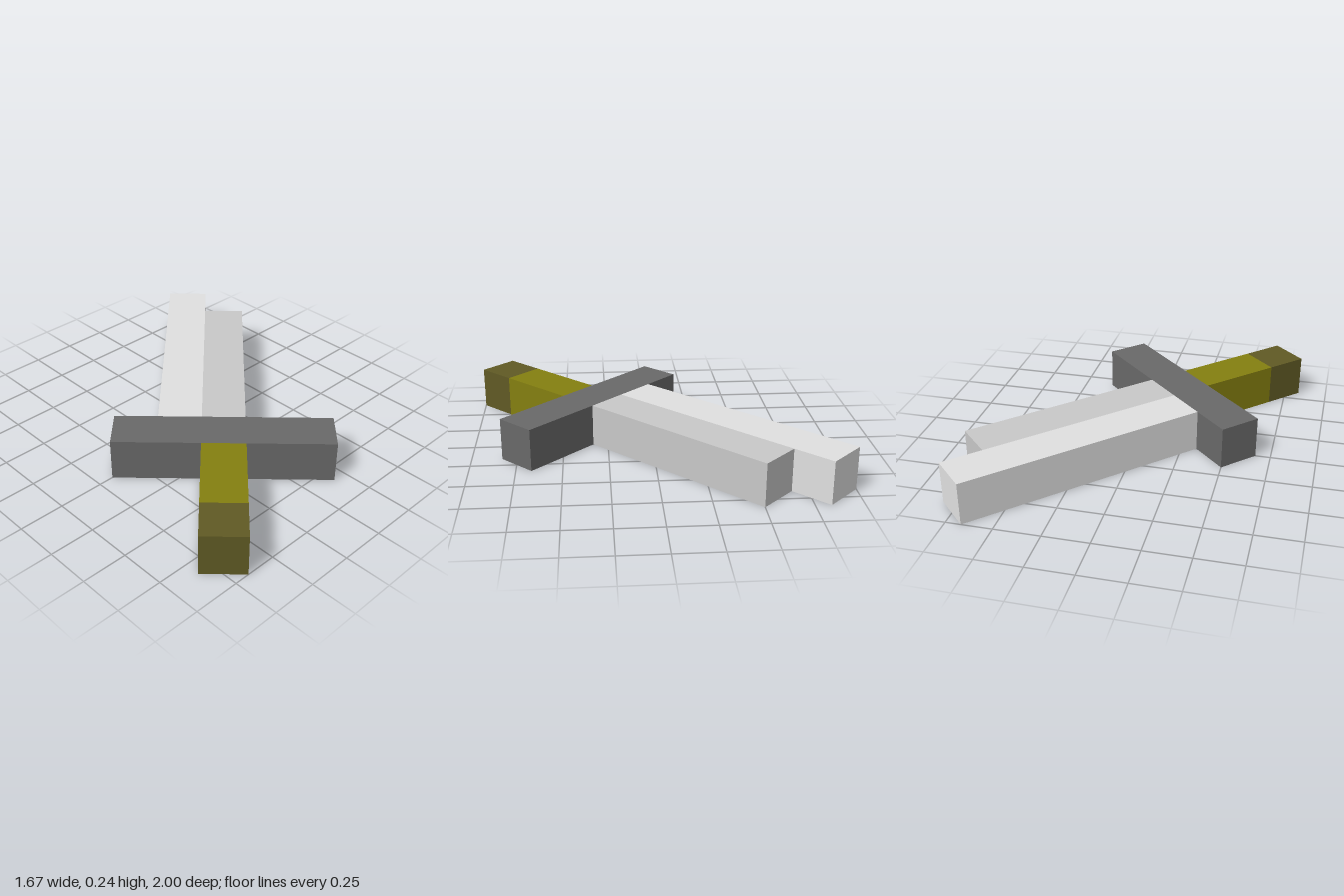
import * as THREE from 'three';

// One block of the grid; every part is a whole number of blocks.
const U = Math.SQRT2 / 6;

function material(name, color) {
  const m = new THREE.MeshStandardMaterial({ color });
  m.name = name;
  return m;
}

export function createModel() {
  const model = new THREE.Group();
  model.name = 'blockSword';

  const lightSteel = material('lightSteel', 0xe0e0e0);
  const shadedSteel = material('shadedSteel', 0xc8c8c8);
  const darkIron = material('darkIron', 0x696969);
  const oliveGrip = material('oliveGrip', 0x847f10);
  const darkOlive = material('darkOlive', 0x605a24);

  // Block running from x0 to x1 along the sword and z0 to z1 across it.
  function block(name, mat, x0, x1, z0, z1) {
    const mesh = new THREE.Mesh(new THREE.BoxGeometry((x1 - x0) * U, U, (z1 - z0) * U), mat);
    mesh.position.set(((x0 + x1) / 2) * U, U / 2, ((z0 + z1) / 2) * U);
    mesh.name = name;
    model.add(mesh);
  }

  // Handle
  block('pommel', darkOlive, -5, -4, 0, 1);
  block('grip', oliveGrip, -4, -2, 0, 1);
  // Crossguard
  block('crossguard', darkIron, -2, -1, -2, 3);
  // Blade in two strips with a stepped tip
  block('longBladeStrip', lightSteel, -1, 5, -1, 0);
  block('shortBladeStrip', shadedSteel, -1, 4, 0, 1);

  // The sword lies diagonally, tip toward the back left.
  model.rotation.y = Math.PI / 4;
  const root = new THREE.Group();
  root.name = 'sword';
  root.add(model);
  return root;
}
